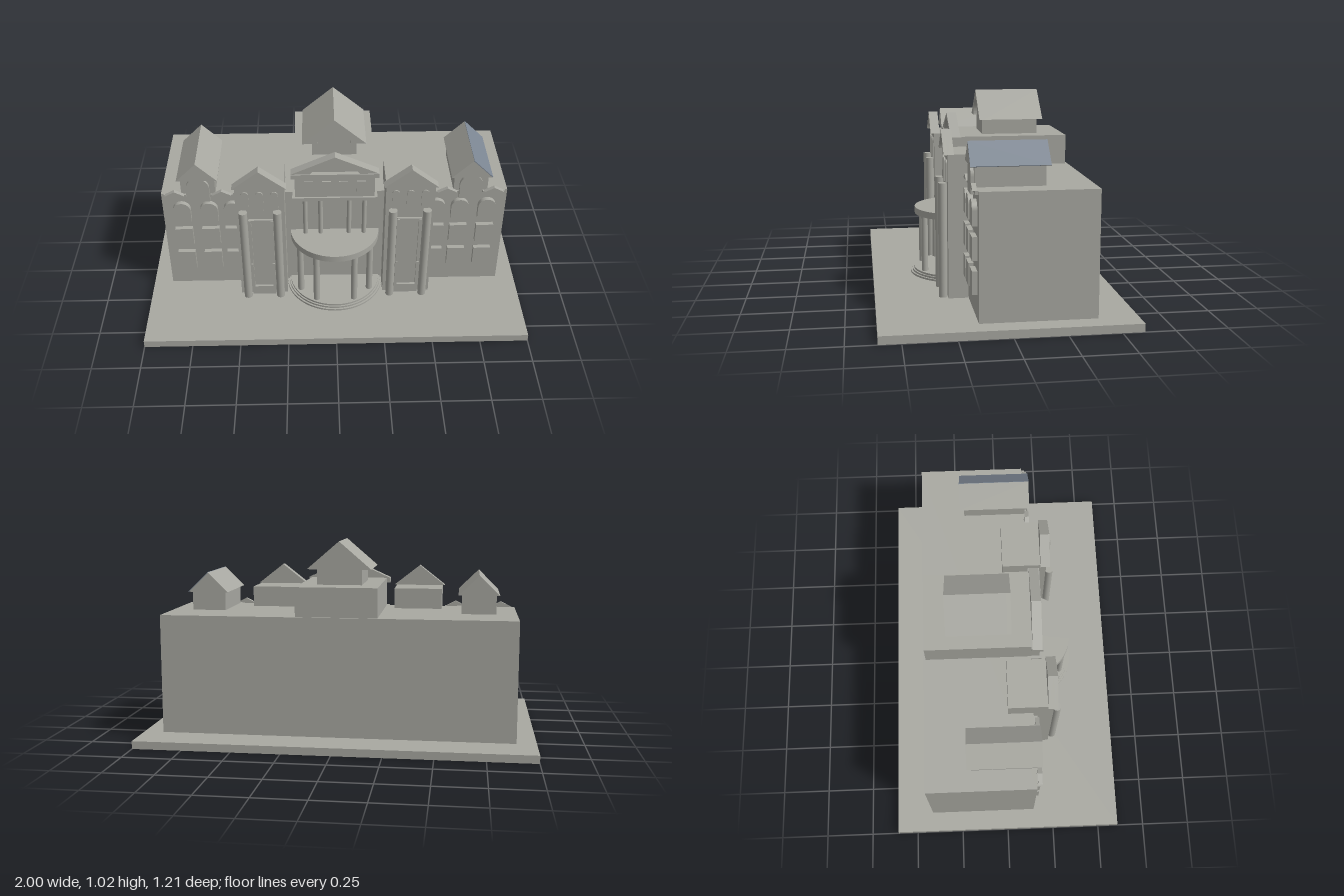
import * as THREE from 'three';

export function createModel() {
  const root = new THREE.Group();
  const stone = new THREE.MeshStandardMaterial({ color: 0xa8a8a1 });
  stone.name = 'stone grey';
  const slate = new THREE.MeshStandardMaterial({ color: 0x7c8692 });
  slate.name = 'slate blue';

  const add = (name, geo, parent = root, mat = stone) => {
    const m = new THREE.Mesh(geo, mat);
    m.name = name;
    parent.add(m);
    return m;
  };
  // box given by its limits on each axis
  const box = (name, x0, x1, y0, y1, z0, z1, parent) => {
    const m = add(name, new THREE.BoxGeometry(x1 - x0, y1 - y0, z1 - z0), parent);
    m.position.set((x0 + x1) / 2, (y0 + y1) / 2, (z0 + z1) / 2);
    return m;
  };
  const extrude = (name, shape, z0, z1, parent) => {
    const geo = new THREE.ExtrudeGeometry(shape, { depth: z1 - z0, bevelEnabled: false, curveSegments: 16 });
    return add(name, geo.translate(0, 0, z0), parent);
  };
  const column = (name, x, z, r, y0, y1, parent) => {
    const m = add(name, new THREE.CylinderGeometry(r, r, y1 - y0, 20), parent);
    m.position.set(x, (y0 + y1) / 2, z);
  };
  // round-topped outline
  const archShape = (x, hw, y0, y1) => {
    const s = new THREE.Shape();
    s.moveTo(x - hw, y0);
    s.lineTo(x + hw, y0);
    s.absarc(x, y1 - hw, hw, 0, Math.PI, false);
    s.closePath();
    return s;
  };
  // gable prism, optionally with an arched notch cut from its base
  const gableShape = (x, hw, y0, y1, r = 0, cy = 0) => {
    const s = new THREE.Shape();
    s.moveTo(x - hw, y0);
    if (r) {
      const a = Math.asin((y0 - cy) / r), c = r * Math.cos(a);
      s.lineTo(x - c, y0);
      s.absarc(x, cy, r, Math.PI - a, a, true);
    }
    s.lineTo(x + hw, y0);
    s.lineTo(x, y1);
    s.closePath();
    return s;
  };
  const archedGable = (name, x, hw, y0, y1, z0, zMid, z1, r, cy, parent) => {
    extrude(name, gableShape(x, hw, y0, y1), z0, zMid, parent);
    extrude(name + 'Arch', gableShape(x, hw, y0, y1, r, cy), zMid, z1, parent);
  };
  // half disc bulging forward from the facade
  const halfDisc = (name, r, y0, y1, parent) => {
    const geo = new THREE.CylinderGeometry(r, r, y1 - y0, 48, 1, false, -Math.PI / 2, Math.PI);
    add(name, geo, parent).position.set(0, (y0 + y1) / 2, 0.14);
  };

  // ground slab and main building
  box('groundSlab', -1, 1, 0, 0.04, -0.605, 0.605);
  box('mainBlock', -0.9, 0.9, 0.04, 0.65, -0.412, 0.145);

  // central block, upper storey and roof
  const centre = new THREE.Group();
  centre.name = 'centralBlock';
  root.add(centre);
  box('centralUpper', -0.207, 0.207, 0.65, 0.8, -0.4, 0.145, centre);
  box('roofBase', -0.115, 0.115, 0.8, 0.88, -0.265, 0.025, centre);
  archedGable('centralRoof', 0, 0.165, 0.88, 1.022, -0.285, 0.025, 0.045, 0.085, 0.89, centre);
  box('attic', -0.205, 0.205, 0.65, 0.775, 0.145, 0.19, centre);
  box('atticLedge', -0.22, 0.22, 0.63, 0.65, 0.145, 0.2, centre);
  box('pedimentLedge', -0.225, 0.225, 0.775, 0.8, 0.145, 0.205, centre);
  archedGable('pediment', 0, 0.225, 0.8, 0.902, 0.15, 0.18, 0.2, 0.15, 0.72, centre);
  for (const x of [-0.135, -0.043, 0.043, 0.135])
    box('atticWindow', x - 0.023, x + 0.023, 0.685, 0.75, 0.19, 0.197, centre);
  for (const x of [-0.155, -0.075, 0.075, 0.155])
    column('upperColumn', x, 0.172, 0.012, 0.4, 0.63, centre);

  // curved portico with steps and balcony
  const portico = new THREE.Group();
  portico.name = 'portico';
  root.add(portico);
  halfDisc('lowerStep', 0.26, 0.04, 0.05, portico);
  halfDisc('middleStep', 0.25, 0.05, 0.06, portico);
  halfDisc('upperStep', 0.242, 0.06, 0.07, portico);
  halfDisc('balcony', 0.235, 0.365, 0.4, portico);
  for (const x of [-0.185, -0.1, 0.1, 0.185])
    column('porticoColumn', x, 0.14 + Math.sqrt(0.215 ** 2 - x * x), 0.017, 0.07, 0.365, portico);

  for (const s of [-1, 1]) {
    // pavilions beside the portico
    const pav = new THREE.Group();
    pav.name = s > 0 ? 'leftPavilion' : 'rightPavilion';
    pav.position.x = s * 0.385;
    root.add(pav);
    box('pavilionBody', -0.126, 0.126, 0.04, 0.757, 0.015, 0.245, pav);
    archedGable('pavilionGable', 0, 0.138, 0.757, 0.865, 0.215, 0.245, 0.265, 0.095, 0.735, pav);
    for (const x of [-0.088, 0.088]) column('pavilionColumn', x, 0.268, 0.022, 0.04, 0.615, pav);
    for (const x of [-0.075, 0, 0.075])
      extrude('pavilionWindow', archShape(x, 0.019, 0.61, 0.728), 0.245, 0.252, pav);
    const frame = new THREE.Shape();
    frame.moveTo(-0.064, 0.04).lineTo(0.064, 0.04).lineTo(0.064, 0.553).lineTo(-0.064, 0.553);
    const hole = new THREE.Path();
    hole.moveTo(-0.05, 0.095).lineTo(-0.05, 0.54).lineTo(0.05, 0.54).lineTo(0.05, 0.095);
    frame.holes.push(hole);
    extrude('doorFrame', frame, 0.245, 0.258, pav);
    for (const x of [-0.057, 0.057])
      for (const y of [0.25, 0.54]) box('frameStud', x - 0.006, x + 0.006, y - 0.01, y + 0.01, 0.258, 0.264, pav);

    // wing windows
    const wing = new THREE.Group();
    wing.name = s > 0 ? 'leftWing' : 'rightWing';
    root.add(wing);
    for (const c of [0.8, 0.658, 0.535]) {
      const x = s * c;
      for (const y of [0.16, 0.32]) box('window', x - 0.046, x + 0.046, y, y + 0.112, 0.145, 0.17, wing);
      extrude('archedWindow', archShape(x, 0.046, 0.482, 0.6), 0.145, 0.17, wing);
    }

    // wing roof, arched bay and small cornice gables
    const x = s * 0.706;
    box('wingRoofBase', x - 0.088, x + 0.088, 0.65, 0.747, -0.18, 0.15, wing);
    extrude('wingArch', archShape(x, 0.059, 0.612, 0.754), 0.145, 0.166, wing);
    extrude('wingRoof', gableShape(x, 0.105, 0.747, 0.85), -0.2, 0.172, wing);
    for (const c of [0.585, 0.828]) {
      box('cornice', s * c - 0.058, s * c + 0.058, 0.635, 0.652, 0.145, 0.16, wing);
      extrude('corniceGable', gableShape(s * c, 0.05, 0.652, 0.678), 0.15, 0.172, wing);
    }
  }

  // slate covering on the outer slope of one wing roof
  const run = 0.105, rise = 0.103;
  const cover = add('slateSlope', new THREE.BoxGeometry(Math.hypot(run, rise), 0.004, 0.373), root, slate);
  cover.position.set(0.706 + run / 2, 0.747 + rise / 2, -0.014);
  cover.rotation.z = -Math.atan2(rise, run);

  return root;
}
